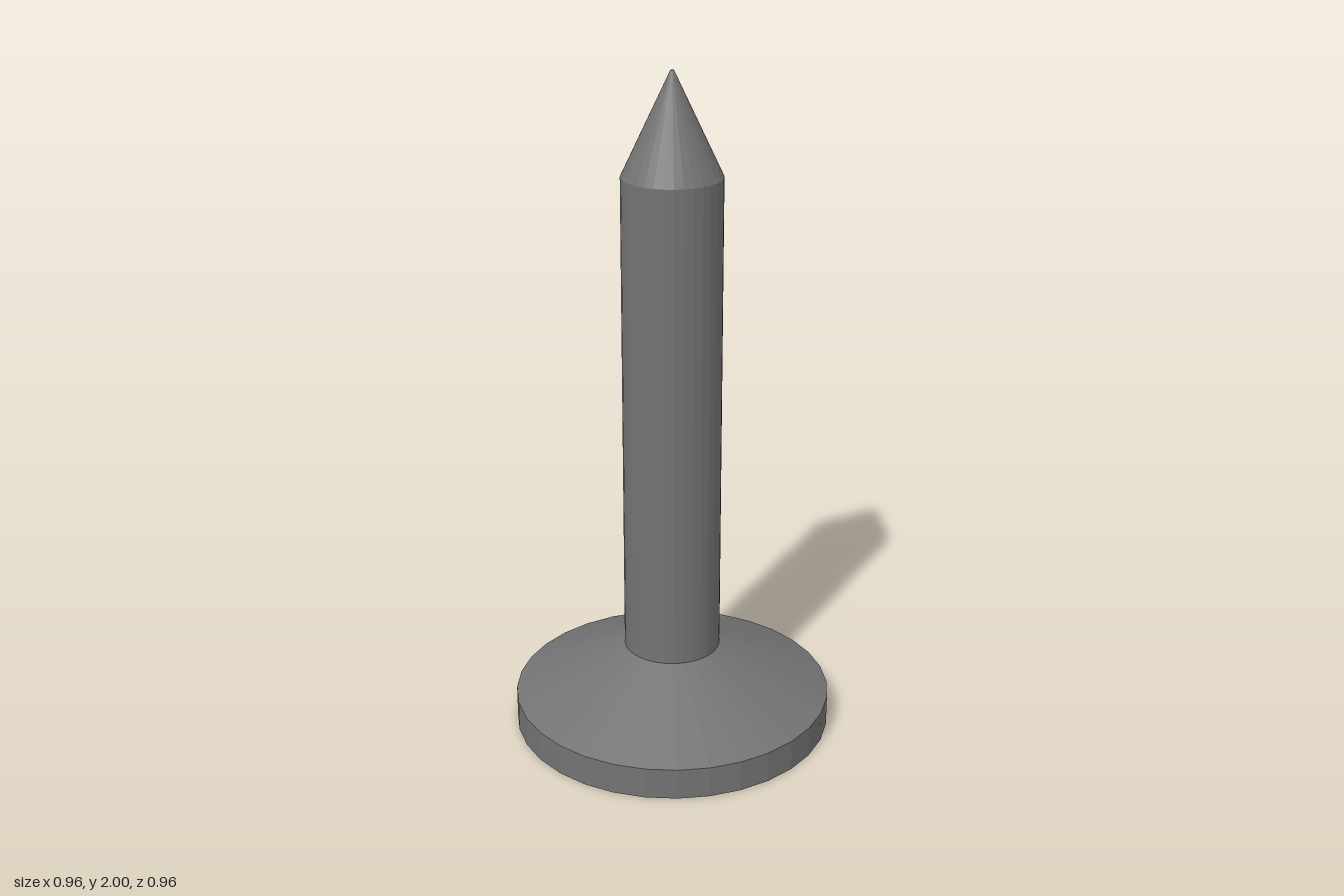
import * as THREE from 'three';

const SIDES = 32;

export function createModel() {
  const model = new THREE.Group();
  model.name = 'nail';
  const material = new THREE.MeshStandardMaterial({ color: 0x737373, flatShading: true });

  // Revolves a [radius, height] profile, listed from bottom to top
  const addTurned = (name, profile) => {
    const points = profile.map(([r, y]) => new THREE.Vector2(r, y));
    const mesh = new THREE.Mesh(new THREE.LatheGeometry(points, SIDES), material);
    mesh.name = name;
    model.add(mesh);
  };

  // Flat head with a short rim and a sloped shoulder
  addTurned('head', [[0, 0], [0.48, 0], [0.48, 0.095], [0.145, 0.25]]);

  // Straight shank
  addTurned('shank', [[0.145, 0.25], [0.145, 1.705]]);

  // Tapered point with a tiny blunt end
  addTurned('point', [[0.145, 1.705], [0.005, 2], [0, 2]]);

  return model;
}
